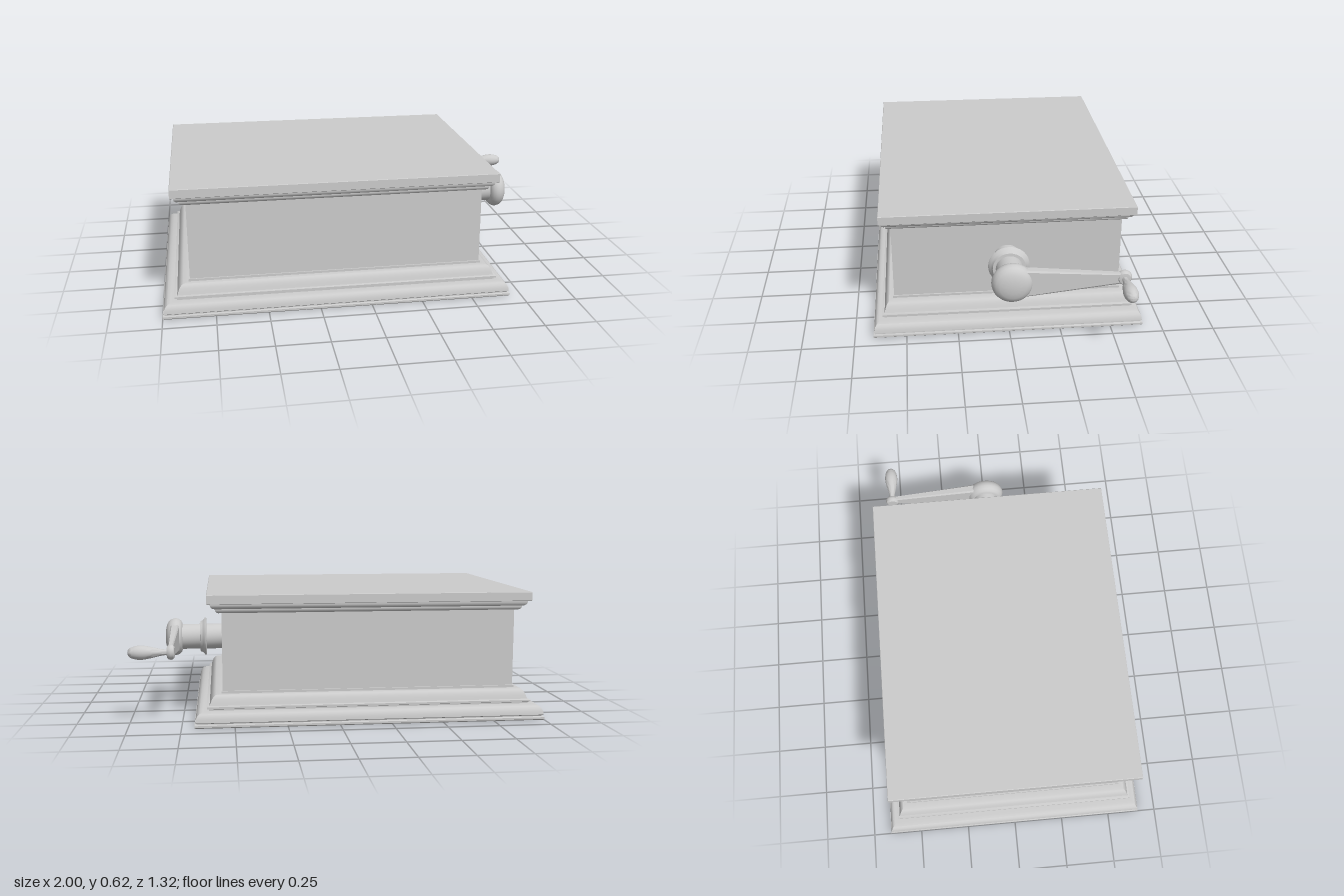
import * as THREE from 'three';
import { toCreasedNormals } from 'three/addons/utils/BufferGeometryUtils.js';

const material = new THREE.MeshStandardMaterial({ color: 0xcccccc });
const ASPECT = 0.845 / 0.66; // box width over depth
const BOX_X = -0.155;        // centre of the box
const AXLE_Y = 0.345;
const ARM_X = 0.8;
const HANDLE_Z = -0.525;

const vectors = (list) => list.map(([a, b]) => new THREE.Vector2(a, b));

function addMesh(parent, name, geometry, crease = 0.6) {
  const mesh = new THREE.Mesh(toCreasedNormals(geometry, crease), material);
  mesh.name = name;
  parent.add(mesh);
  return mesh;
}

// Rectangular moulding: profile of [half depth, height] swept round four sides
function moulding(profile) {
  const points = vectors(profile.map(([r, y]) => [r * Math.SQRT2, y]));
  return new THREE.LatheGeometry(points, 4, Math.PI / 4)
    .scale(ASPECT, 1, 1)
    .translate(BOX_X, 0, 0);
}

// Turned part about the x axis: profile of [radius, x]
function turned(profile, z = 0, sides = 32) {
  return new THREE.LatheGeometry(vectors(profile), sides)
    .rotateZ(-Math.PI / 2)
    .translate(0, AXLE_Y, z);
}

export function createModel() {
  const model = new THREE.Group();
  model.name = 'crankBox';

  const box = new THREE.Group();
  box.name = 'box';
  model.add(box);

  // Stepped plinth
  addMesh(box, 'plinth', moulding([
    [0, 0], [0.655, 0], [0.66, 0.005], [0.66, 0.014], [0.652, 0.018], [0.652, 0.022],
    [0.657, 0.026], [0.655, 0.042], [0.65, 0.056], [0.642, 0.066], [0.63, 0.072],
    [0.606, 0.074], [0.606, 0.08], [0.614, 0.083], [0.614, 0.092], [0.604, 0.096],
    [0.6, 0.11], [0.595, 0.126], [0.588, 0.138], [0.58, 0.144], [0.56, 0.146],
    [0.56, 0.157], [0.553, 0.158], [0, 0.158],
  ]));

  // Plain side walls
  addMesh(box, 'walls', moulding([[0, 0.15], [0.555, 0.15], [0.555, 0.54], [0, 0.54]]));

  // Cornice below the lid
  addMesh(box, 'cornice', moulding([
    [0, 0.533], [0.568, 0.533], [0.575, 0.538], [0.579, 0.546], [0.579, 0.553],
    [0.587, 0.555], [0.594, 0.562], [0.597, 0.572], [0.597, 0.58], [0, 0.58],
  ]));

  // Flat lid
  addMesh(box, 'lid', moulding([
    [0, 0.578], [0.608, 0.578], [0.61, 0.58], [0.61, 0.62], [0.608, 0.622], [0, 0.622],
  ]));

  const crank = new THREE.Group();
  crank.name = 'crank';
  model.add(crank);

  // Axle with its flared collar
  addMesh(crank, 'axle', turned([
    [0, 0.54], [0.066, 0.54], [0.066, 0.635], [0.094, 0.636], [0.1, 0.64], [0.098, 0.645],
    [0.088, 0.652], [0.083, 0.66], [0.08, 0.668], [0.066, 0.669], [0.066, 0.775], [0, 0.775],
  ]));

  // Rounded hub at the end of the axle
  addMesh(crank, 'hub', turned([
    [0, 0.762], [0.07, 0.762], [0.082, 0.767], [0.092, 0.778], [0.098, 0.793], [0.097, 0.807],
    [0.091, 0.822], [0.08, 0.834], [0.062, 0.843], [0.035, 0.849], [0, 0.851],
  ]));

  // Tapered arm with bevelled edges, thinner towards the handle
  const bevel = 0.008;
  const armShape = new THREE.Shape(vectors([
    [0, -0.068], [-HANDLE_Z, -0.018], [-HANDLE_Z, 0.018], [0, 0.068],
  ]));
  const armGeometry = new THREE.ExtrudeGeometry(armShape, {
    depth: 0.034, bevelThickness: bevel, bevelSize: bevel, bevelSegments: 1,
  }).translate(0, 0, -0.017).rotateY(Math.PI / 2);
  const position = armGeometry.attributes.position;
  for (let i = 0; i < position.count; i++) {
    const along = position.getZ(i) / HANDLE_Z;
    position.setX(i, position.getX(i) * (1 - 0.55 * along));
  }
  addMesh(crank, 'arm', armGeometry.translate(ARM_X, AXLE_Y, 0), 0.4);

  // Small boss that holds the handle
  addMesh(crank, 'handleBoss', turned([
    [0, 0.78], [0.026, 0.78], [0.034, 0.786], [0.037, 0.796],
    [0.035, 0.806], [0.028, 0.815], [0, 0.819],
  ], HANDLE_Z, 20));

  // Teardrop handle
  const grip = new THREE.SplineCurve(vectors([
    [0.013, 0.81], [0.016, 0.84], [0.025, 0.88], [0.033, 0.92],
    [0.034, 0.95], [0.027, 0.98], [0.015, 0.996], [0, 1],
  ])).getPoints(24).map((p) => [Math.max(p.x, 0), p.y]);
  addMesh(crank, 'handle', turned(grip, HANDLE_Z, 20), 0.9);

  return model;
}
